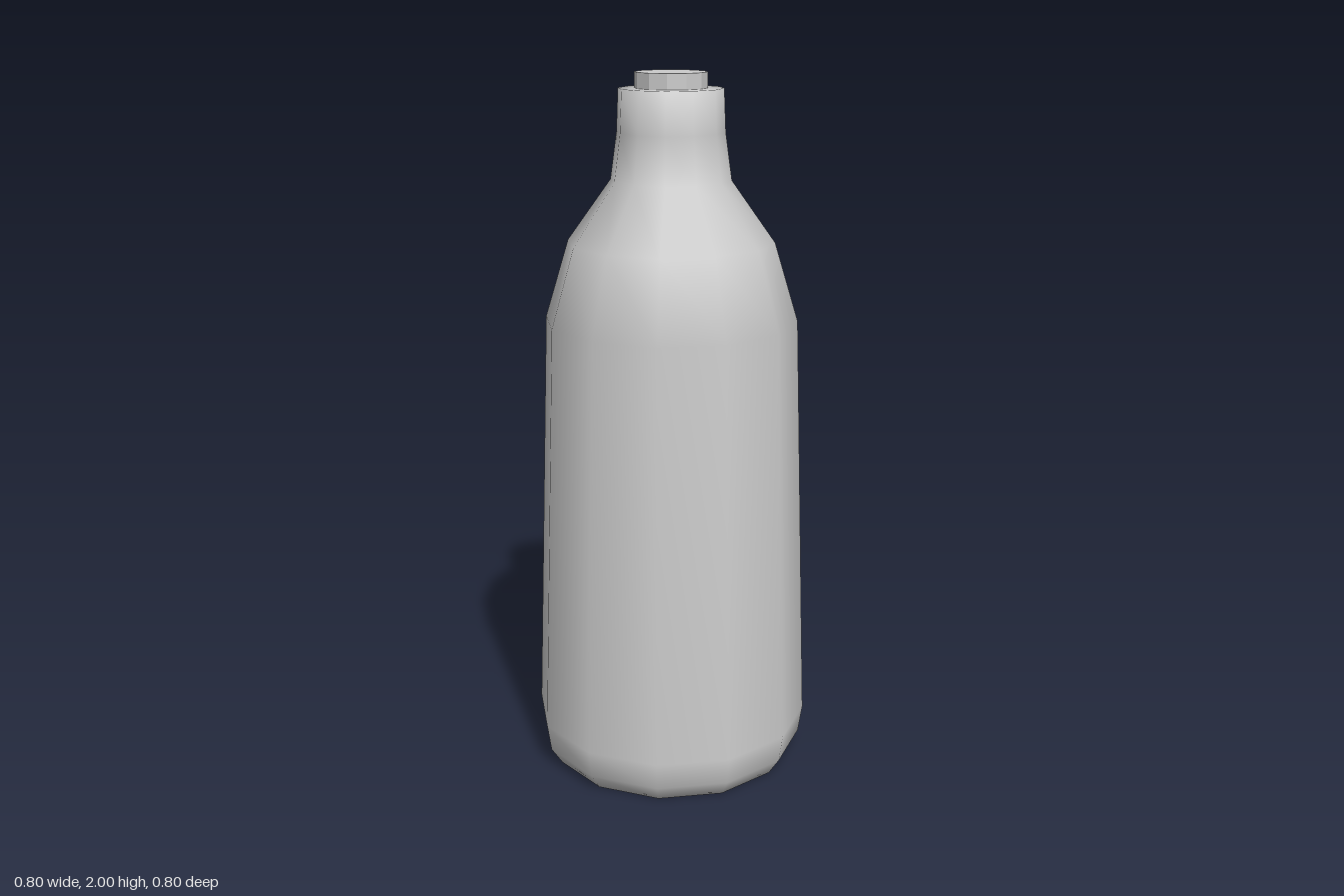
import * as THREE from 'three';

const SIDES = 12;

export function createModel() {
  const group = new THREE.Group();
  group.name = 'bottle';

  // Body: bevelled foot, tapered wall, sloping shoulder, neck and flat rim
  const profile = [
    [0, 0], [0.355, 0], [0.388, 0.05], [0.4, 0.13], [0.357, 1.32],
    [0.29, 1.54], [0.168, 1.71], [0.15, 1.84], [0.145, 1.957], [0.09, 1.957],
  ].map(([r, y]) => new THREE.Vector2(r, y));
  const body = new THREE.Mesh(
    new THREE.LatheGeometry(profile, SIDES),
    new THREE.MeshStandardMaterial({ color: 0xcccccc, side: THREE.DoubleSide }),
  );
  body.name = 'bottleBody';
  group.add(body);

  // Stopper: short faceted plug standing just above the rim
  const stopper = new THREE.Mesh(
    new THREE.CylinderGeometry(0.1, 0.1, 0.1, SIDES),
    new THREE.MeshStandardMaterial({ color: 0xcccccc, flatShading: true }),
  );
  stopper.name = 'stopper';
  stopper.position.y = 1.95;
  group.add(stopper);

  return group;
}
